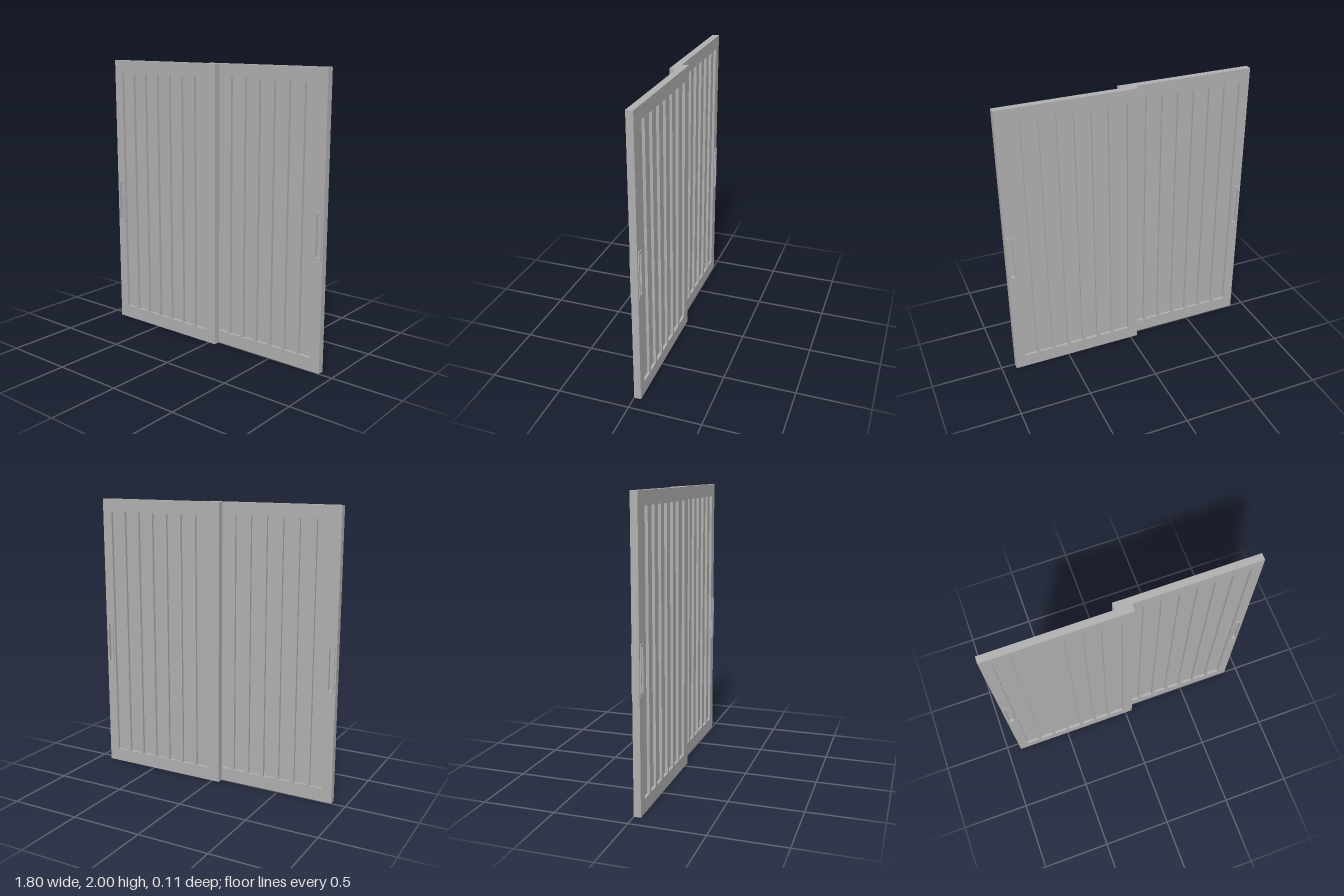
import * as THREE from 'three';

const WIDTH = 0.955, HEIGHT = 2, THICK = 0.048, OUTER = 0.9;
const SLOT_Y0 = 0.095, SLOT_Y1 = 1.91;
const HANDLE = { x0: -0.889, x1: -0.841, y0: 0.775, y1: 1.1, rim: 0.01, lip: 0.007 };

// Rectangle outline for shapes and holes
function rect(x0, y0, x1, y1, Type = THREE.Shape) {
  const r = new Type();
  r.moveTo(x0, y0);
  r.lineTo(x1, y0);
  r.lineTo(x1, y1);
  r.lineTo(x0, y1);
  r.closePath();
  return r;
}

function box(name, x0, x1, y0, y1, depth, zMid, material) {
  const mesh = new THREE.Mesh(new THREE.BoxGeometry(x1 - x0, y1 - y0, depth), material);
  mesh.name = name;
  mesh.position.set((x0 + x1) / 2, (y0 + y1) / 2, zMid);
  return mesh;
}

function extrude(name, shape, depth, z, material) {
  const geometry = new THREE.ExtrudeGeometry(shape, { depth, bevelEnabled: false });
  const mesh = new THREE.Mesh(geometry, material);
  mesh.name = name;
  mesh.position.z = z;
  return mesh;
}

// One sliding door, with its handle at the outer (-x) edge and its back on z = 0
function createDoor(name, material) {
  const door = new THREE.Group();
  door.name = name;
  const h = HANDLE;

  // Frame with seven tall openings and a cut-out for the handle
  const frame = rect(-OUTER, 0, -OUTER + WIDTH, HEIGHT);
  for (let i = 0; i < 7; i++) {
    const x0 = -0.828 + i * 0.1164;
    const x1 = i === 6 ? -0.022 : x0 + 0.092;
    frame.holes.push(rect(x0, SLOT_Y0, x1, SLOT_Y1, THREE.Path));
  }
  frame.holes.push(rect(h.x0, h.y0, h.x1, h.y1, THREE.Path));
  door.add(extrude('doorFrame', frame, THICK, 0, material));

  // Thin sheet set back from both faces behind the openings
  door.add(box('recessedPanel', -0.832, -0.018, SLOT_Y0 - 0.005, SLOT_Y1 + 0.005, 0.01, THICK / 2, material));

  // Handle rim standing proud of both faces, with a sunken grip plate
  const rim = rect(h.x0, h.y0, h.x1, h.y1);
  rim.holes.push(rect(h.x0 + h.rim, h.y0 + 0.02, h.x1 - h.rim, h.y1 - 0.02, THREE.Path));
  door.add(extrude('handleRim', rim, THICK + 2 * h.lip, -h.lip, material));
  door.add(box('handleGrip', h.x0 + 0.005, h.x1 - 0.005, h.y0 + 0.01, h.y1 - 0.01, 0.02, THICK / 2, material));
  return door;
}

export function createModel() {
  const grey = new THREE.MeshStandardMaterial({ color: 0xb0b0b0 });
  grey.name = 'grey';

  const model = new THREE.Group();
  model.name = 'slidingDoors';
  const front = createDoor('frontDoor', grey);
  // The rear door is the same door turned half round
  const rear = createDoor('rearDoor', grey);
  rear.rotation.y = Math.PI;
  model.add(front, rear);
  return model;
}
